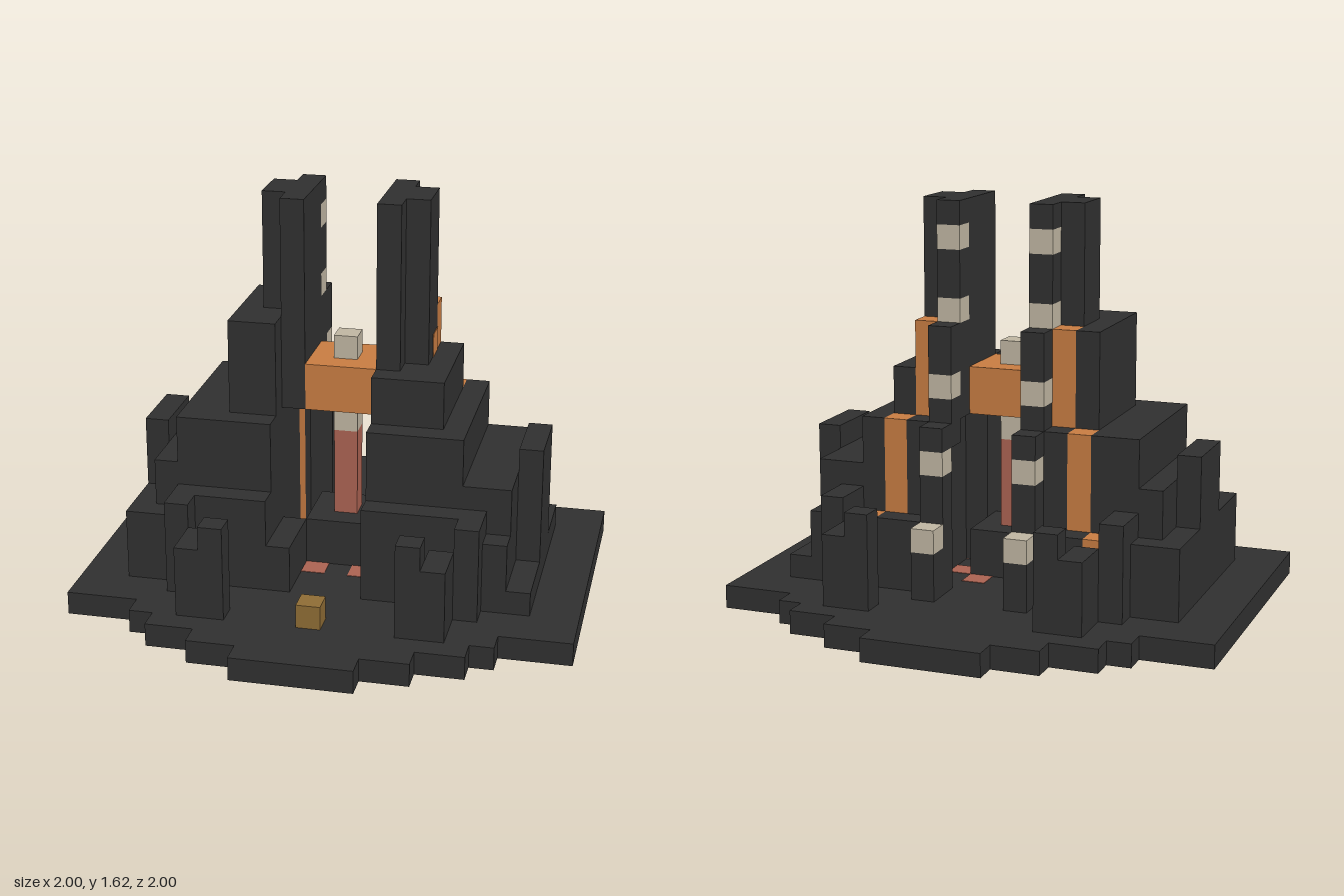
import * as THREE from 'three';

const U = 2 / 21; // edge of one block

export function createModel() {
  const model = new THREE.Group();
  model.name = 'twinTowerCitadel';
  const mat = (name, color) => {
    const m = new THREE.MeshStandardMaterial({ color });
    m.name = name;
    return m;
  };
  const stone = mat('darkStone', 0x303030);
  const lava = mat('orange', 0xc87c42);
  const bone = mat('bone', 0xc0b6a2);
  const red = mat('dullRed', 0xab6352);
  const gold = mat('gold', 0x8e6c35);

  // Box from block i0..i1 in x, k0..k1 in z (inclusive), heights y0..y1 in blocks
  function box(name, material, i0, i1, k0, k1, y0, y1) {
    const w = i1 - i0 + 1, d = k1 - k0 + 1, h = y1 - y0;
    const mesh = new THREE.Mesh(new THREE.BoxGeometry(w * U, h * U, d * U), material);
    mesh.position.set(((i0 + i1) / 2) * U, ((y0 + y1) / 2) * U, ((k0 + k1) / 2) * U);
    mesh.name = name;
    model.add(mesh);
    return mesh;
  }
  // Same box on side s (+1 left, -1 right), measured outwards from the middle
  const sideBox = (name, m, s, a, b, k0, k1, y0, y1) =>
    box(name, m, s > 0 ? a : -b, s > 0 ? b : -a, k0, k1, y0, y1);

  // Stepped base plate
  const B = 0.02;
  box('basePlate', stone, -10, 10, -6, 6, B, 1);
  [[7, 7], [8, 6], [9, 4], [10, 2]].forEach(([k, w]) => {
    for (const s of [1, -1]) box('baseStep', stone, -w, w, s * k, s * k, B, 1);
  });

  // Ring of red blocks let into the base
  for (const sx of [1, -1]) {
    box('ringBlock', red, 3 * sx, 3 * sx, 0, 0, 0, 1.01);
    for (const sz of [1, -1]) {
      box('ringBlock', red, sx, sx, 2 * sz, 2 * sz, 0, 1.02);
      box('ringBlock', red, 2 * sx, 2 * sx, sz, sz, 0, 1.02);
    }
  }

  // Pedestal, beam and hanging core between the towers
  box('pedestal', stone, -1, 1, -1, 1, 1, 3);
  box('beam', red, 0, 0, 0, 0, 3, 6.77);
  box('coreTip', bone, 0, 0, 0, 0, 6.77, 8);
  box('core', lava, -1, 1, -1, 1, 8, 10);
  box('coreCap', bone, 0, 0, 0, 0, 10, 11);
  box('entranceBlock', gold, 0, 0, 7, 7, 1, 2);

  for (const s of [1, -1]) {
    const left = s > 0;

    // Tower
    sideBox('towerInner', stone, s, 2, 2, -1, 1, 8, 17);
    sideBox('towerOuter', stone, s, 3, 3, -1, 0, 1, 17);
    const inlay = sideBox('towerInlay', lava, s, 3, 3, -1, -1, 10, 11);
    inlay.scale.x = 0.05;
    inlay.position.x = s * 3.5 * U;

    // Upper terrace, taller on the right
    const top = left ? 10 : 12;
    sideBox('upperTerrace', stone, s, 4, 4, -2, 2, 1, top);
    sideBox('upperTerraceFront', stone, s, left ? 2 : 3, 3, 1, 2, 1, top);

    // Middle terrace, front ledge and rear ledges
    sideBox('middleTerrace', stone, s, 5, left ? 5 : 6, -3, 3, 1, 8);
    sideBox('middleTerraceFront', stone, s, left ? 2 : 3, 4, 3, 3, 1, 8);
    sideBox('frontLedge', stone, s, left ? 2 : 3, 5, 4, 4, 1, 5);
    if (!left) sideBox('frontLedgeLow', stone, s, 2, 2, 2, 4, 1, 3);
    sideBox('rearTerrace', stone, s, 3, 3, -3, -3, 1, 8);
    sideBox('rearLedge', stone, s, 3, 4, -4, -4, 1, 4);

    // Outer wall with buttress
    sideBox('outerTerrace', stone, s, left ? 6 : 7, 7, -3, 3, 1, 6);
    sideBox('outerTerraceEnds', stone, s, 7, 7, -4, 4, 1, 4);
    sideBox('outerFoot', stone, s, 8, 8, -4, 4, 1, left ? 2 : 4);
    sideBox('buttress', stone, s, 8, 8, -1, 1, 1, 7);

    // Corner walls, front and back
    for (const z of [1, -1]) {
      const span = (a, b) => (z > 0 ? [a, b] : [-b, -a]);
      sideBox('cornerWall', stone, s, 6, 6, ...span(4, 5), 1, 5);
      sideBox('cornerWallLow', stone, s, 5, 5, ...span(6, 7), 1, 4);
      sideBox('cornerPost', stone, s, 4, 4, ...span(7, 7), 1, 5);
    }

    // Orange flows stepping down the back
    sideBox('upperFlow', lava, s, 3, 3, -2, -2, 1, 12);
    sideBox('middleFlow', lava, s, 4, 4, -3, -3, 1, 8);
    sideBox('lowerFlow', lava, s, 5, 5, -4, -4, 1, 4);

    // Rear spine: stepped columns with bone bands [z, bottom, top, bands]
    const spine = [[-2, 8, 17, [12, 15]], [-3, 7, 12, [9]], [-4, 4, 8, [6]], [-5, 1, 4, [3]]];
    for (const [k, bottom, end, bands] of spine) {
      let y = bottom;
      for (const b of bands) {
        sideBox('spine', stone, s, 2, 2, k, k, y, b);
        sideBox('spineBand', bone, s, 2, 2, k, k, b, b + 1);
        y = b + 1;
      }
      if (y < end) sideBox('spine', stone, s, 2, 2, k, k, y, end);
    }
    sideBox('spineFoot', stone, s, 2, 2, -4, -4, 1, 4);
  }
  return model;
}
